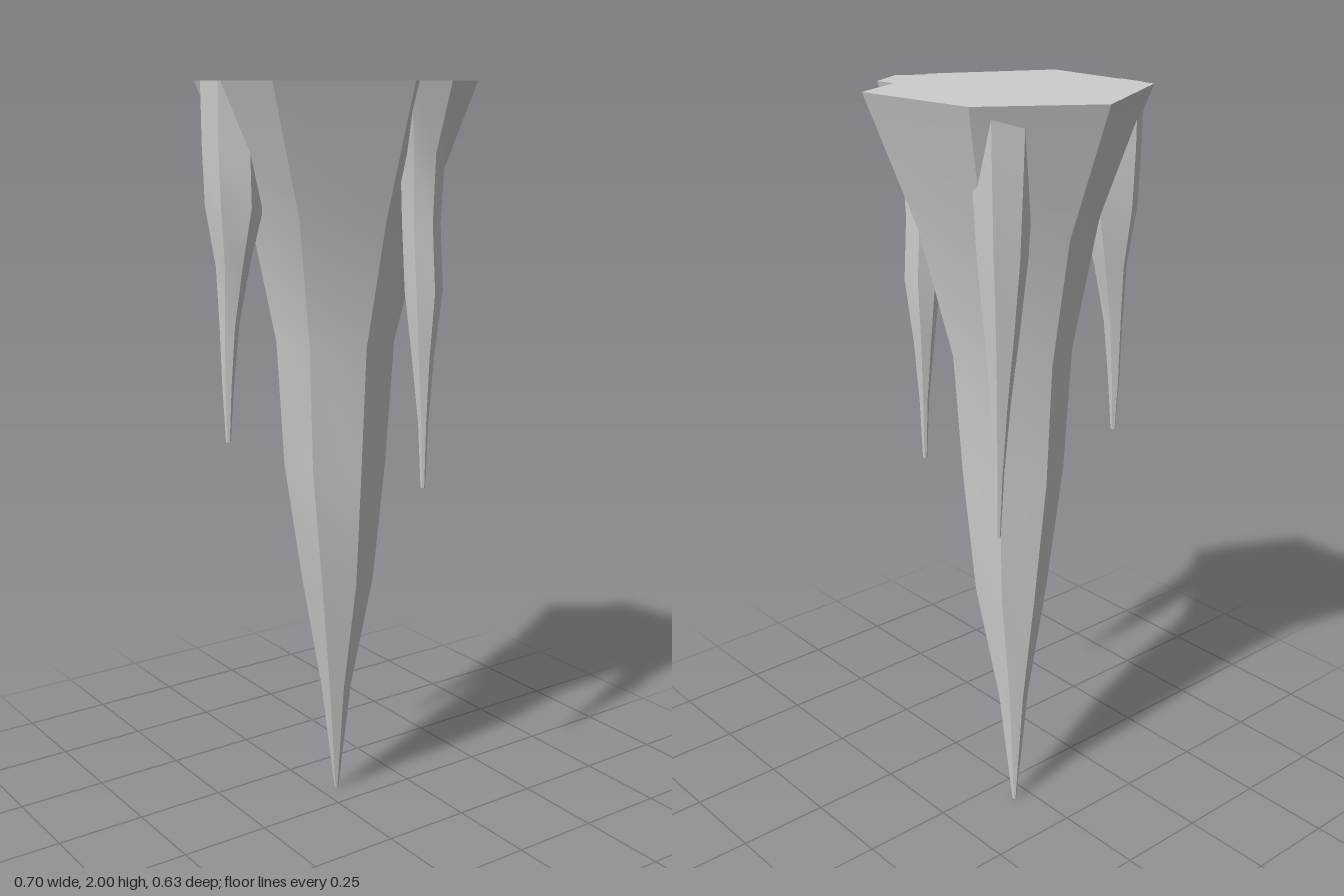
import * as THREE from 'three';

const stone = new THREE.MeshStandardMaterial({ color: 0xcccccc });
stone.name = 'pale grey stone';

// Spike hanging from y = 2: a six-sided outline, shrunk and shifted ring by ring.
// Each ring is [scale, centre x, centre z]; rings are evenly spaced down to tipY.
// Columns share no vertices, so faces blend vertically but keep sharp side edges.
function spike(name, outline, tipY, rings) {
  const n = outline.length, last = rings.length - 1;
  const at = (i, j) => {
    const [s, cx, cz] = rings[i], [x, z] = outline[j % n];
    return [cx + s * x, 2 + (tipY - 2) * i / last, cz + s * z];
  };
  const pos = [], index = [];
  for (let j = 0; j < n; j++) {
    const base = pos.length / 3;
    for (let i = 0; i <= last; i++) pos.push(...at(i, j), ...at(i, j + 1));
    for (let i = 0; i < last; i++) {
      const a = base + 2 * i;
      index.push(a, a + 1, a + 2, a + 1, a + 3, a + 2);
    }
  }
  // top and tip caps
  for (const [ring, up] of [[0, true], [last, false]]) {
    const base = pos.length / 3;
    for (let j = 0; j < n; j++) pos.push(...at(ring, j));
    for (let j = 1; j < n - 1; j++) {
      index.push(base, base + (up ? j + 1 : j), base + (up ? j : j + 1));
    }
  }
  const geo = new THREE.BufferGeometry();
  geo.setAttribute('position', new THREE.Float32BufferAttribute(pos, 3));
  geo.setIndex(index);
  geo.computeVertexNormals();
  const mesh = new THREE.Mesh(geo, stone);
  mesh.name = name;
  return mesh;
}

export function createModel() {
  const group = new THREE.Group();
  group.name = 'stalactiteCluster';

  // large central spike
  group.add(spike('mainSpike',
    [[0.315, 0], [0.158, 0.298], [-0.19, 0.307], [-0.35, 0], [-0.168, -0.267], [0.17, -0.315]], 0,
    [[1, 0, 0], [0.64, -0.009, -0.01], [0.435, -0.022, -0.008], [0.38, -0.021, -0.005],
      [0.275, -0.037, -0.025], [0.115, -0.055, -0.032], [0.015, -0.08, -0.05]]));

  // small front spike
  group.add(spike('frontSpike',
    [[0.08, -0.01], [0.04, 0.06], [-0.04, 0.062], [-0.08, 0], [-0.03, -0.07], [0.045, -0.07]], 1.08,
    [[1, -0.11, 0.25], [0.97, -0.112, 0.251], [0.95, -0.108, 0.25], [0.55, -0.115, 0.252],
      [0.32, -0.119, 0.262], [0.2, -0.121, 0.267], [0.08, -0.12, 0.27]]));

  // small right-hand spike
  group.add(spike('sideSpike',
    [[0.102, 0], [0.052, 0.083], [-0.045, 0.085], [-0.1, 0], [-0.055, -0.083], [0.048, -0.095]], 0.98,
    [[1, 0.245, -0.085], [0.55, 0.237, -0.082], [0.48, 0.232, -0.085], [0.48, 0.237, -0.092],
      [0.28, 0.238, -0.093], [0.13, 0.243, -0.094], [0.06, 0.245, -0.095]]));

  // small back spike
  group.add(spike('backSpike',
    [[0.08, 0], [0.04, 0.07], [-0.04, 0.07], [-0.08, 0], [-0.04, -0.07], [0.04, -0.07]], 0.905,
    [[1, -0.15, -0.15], [0.9, -0.155, -0.155], [0.78, -0.158, -0.158], [0.55, -0.16, -0.162],
      [0.32, -0.161, -0.168], [0.17, -0.16, -0.173], [0.08, -0.158, -0.175]]));

  return group;
}
